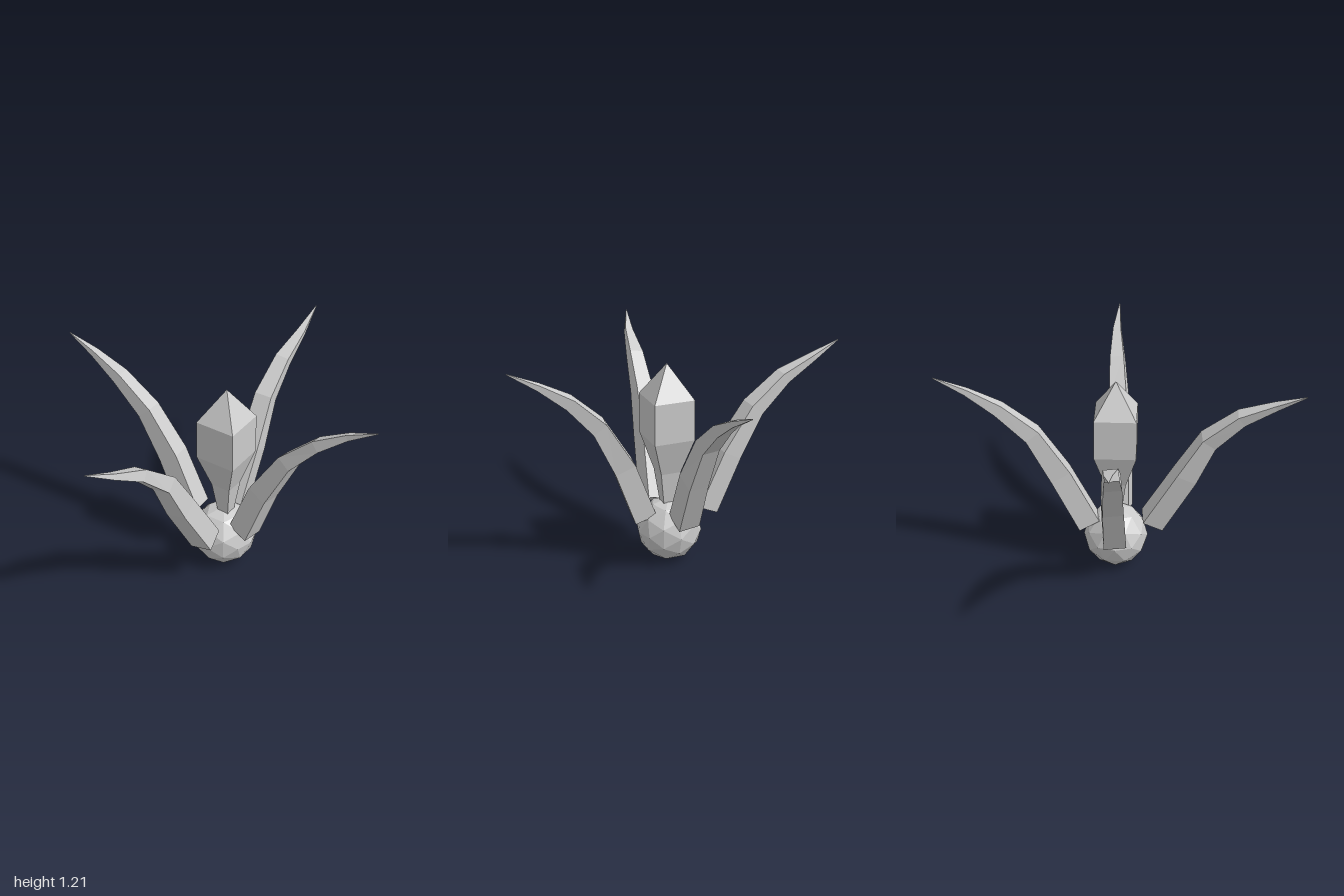
import * as THREE from 'three';

const material = new THREE.MeshStandardMaterial({ color: 0xcccccc, flatShading: true });

// Four-sided leaf that grows along local +z; path points are [sideways, height, outward]
function makeLeaf(path, roll) {
  const widths = [0.125, 0.115, 0.1, 0.08, 0.045, 0.004];
  const depths = [0.125, 0.12, 0.09, 0.065, 0.032, 0.004];
  const corners = [[1, 1], [-1, 1], [-1, -1], [1, -1]];
  const points = path.map(p => new THREE.Vector3(...p));
  const positions = [], index = [];
  const last = points.length - 1;

  points.forEach((p, i) => {
    const tangent = points[Math.min(i + 1, last)].clone().sub(points[Math.max(i - 1, 0)]).normalize();
    const side = new THREE.Vector3(1, 0, 0);
    const up = tangent.clone().cross(side).normalize();
    side.crossVectors(up, tangent);
    side.applyAxisAngle(tangent, roll);
    up.applyAxisAngle(tangent, roll);
    for (const [u, v] of corners) {
      const q = p.clone().addScaledVector(side, u * widths[i] / 2).addScaledVector(up, v * depths[i] / 2);
      positions.push(q.x, q.y, q.z);
    }
    if (i === last) return;
    for (let k = 0; k < 4; k++) {
      const a = i * 4 + k, b = i * 4 + (k + 1) % 4;
      index.push(a, b, b + 4, a, b + 4, a + 4);
    }
  });

  // Base and tip caps
  const t = last * 4;
  index.push(0, 2, 1, 0, 3, 2, t, t + 1, t + 2, t, t + 2, t + 3);

  const geometry = new THREE.BufferGeometry();
  geometry.setAttribute('position', new THREE.Float32BufferAttribute(positions, 3));
  geometry.setIndex(index);
  const flat = geometry.toNonIndexed();
  flat.computeVertexNormals();
  return new THREE.Mesh(flat, material);
}

export function createModel() {
  const group = new THREE.Group();

  // Faceted round bulb
  const bulb = new THREE.Mesh(new THREE.IcosahedronGeometry(0.182, 1), material);
  bulb.name = 'bulb';
  bulb.position.set(0.065, 0.182, -0.015);
  group.add(bulb);

  // Square bud on a narrow stem, sides facing the axes
  const r = Math.SQRT2;
  const profile = [[0, 0.28], [0.025, 0.28], [0.057, 0.53], [0.116, 0.73], [0.116, 0.96], [0, 1.15]]
    .map(([half, y]) => new THREE.Vector2(half * r, y));
  const bud = new THREE.Mesh(new THREE.LatheGeometry(profile, 4, Math.PI / 4), material);
  bud.name = 'bud';
  bud.position.set(0.075, 0, -0.015);
  group.add(bud);

  // Four arching leaves, each with its own slight bend
  const leaves = [
    { name: 'frontLeaf', turn: 0, roll: 0.15, path: [
      [0.075, 0.272, 0.19], [0.04, 0.6, 0.372], [0.025, 0.828, 0.492],
      [0, 0.985, 0.665], [-0.03, 1.075, 0.845], [-0.076, 1.155, 1]] },
    { name: 'leftLeaf', turn: Math.PI / 2, roll: -0.15, path: [
      [0, 0.275, 0.21], [0, 0.585, 0.325], [0.015, 0.845, 0.47],
      [0.03, 1.01, 0.635], [0.04, 1.12, 0.8], [0.033, 1.208, 0.965]] },
    { name: 'backLeaf', turn: Math.PI, roll: 0.12, path: [
      [-0.035, 0.28, 0.165], [-0.045, 0.583, 0.322], [-0.035, 0.838, 0.472],
      [-0.035, 0.99, 0.652], [-0.045, 1.085, 0.825], [-0.036, 1.167, 1]] },
    { name: 'rightLeaf', turn: -Math.PI / 2, roll: 0.12, path: [
      [-0.015, 0.277, 0.143], [-0.018, 0.583, 0.288], [-0.012, 0.826, 0.445],
      [-0.006, 0.983, 0.63], [-0.01, 1.075, 0.81], [0, 1.15, 0.97]] },
  ];
  for (const { name, turn, roll, path } of leaves) {
    const leaf = makeLeaf(path, roll);
    leaf.name = name;
    leaf.rotation.y = turn;
    group.add(leaf);
  }

  return group;
}
